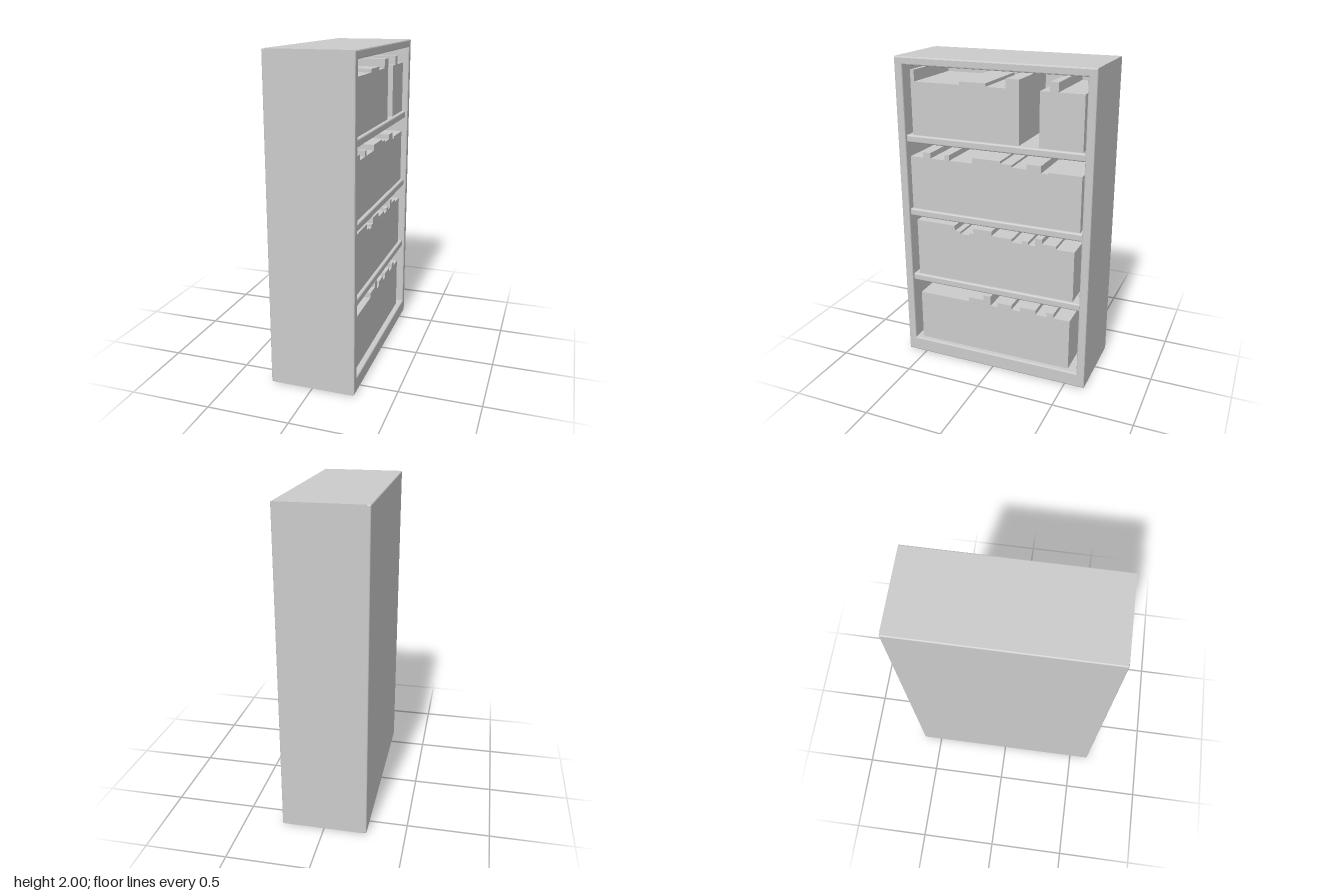
import * as THREE from 'three';
import { RoundedBoxGeometry } from 'three/addons/geometries/RoundedBoxGeometry.js';

const W = 0.53, H = 2, D = 1.256; // x, y, z size of the case
const FLOOR = 0.095, CEILING = 1.95, INNER = 0.576;
const BACK = -0.215, BOOK_FRONT = 0.23;

const material = new THREE.MeshStandardMaterial({ color: 0xcccccc });

function add(parent, name, geometry, x = 0, y = 0, z = 0) {
  const mesh = new THREE.Mesh(geometry, material);
  mesh.name = name;
  mesh.position.set(x, y, z);
  parent.add(mesh);
  return mesh;
}

// Extrudes an outline of [z, y] points along x, from x0 to x1
function extrudeX(points, x0, x1, hole, bevel = 0) {
  const toVectors = (list) => list.map(([z, y]) => new THREE.Vector2(-z, y));
  const shape = new THREE.Shape(toVectors(points));
  if (hole) shape.holes.push(new THREE.Path(toVectors(hole)));
  return new THREE.ExtrudeGeometry(shape, {
    depth: x1 - x0 - 2 * bevel,
    bevelEnabled: bevel > 0,
    bevelSize: bevel,
    bevelThickness: bevel,
    bevelOffset: -bevel,
    bevelSegments: 2,
  }).rotateY(Math.PI / 2).translate(x0 + bevel, 0, 0);
}

const rectangle = (z, y0, y1) => [[z, y0], [-z, y0], [-z, y1], [z, y1]];

// Stepped skyline of a row of books: each step is [z where it ends, top height]
function bookRow(bottom, start, steps) {
  const points = [[start, bottom]];
  let z = start;
  for (const [end, top] of steps) {
    points.push([z, top], [end, top]);
    z = end;
  }
  points.push([z, bottom]);
  return extrudeX(points, BACK, BOOK_FRONT);
}

export function createModel() {
  const group = new THREE.Group();
  group.name = 'bookcase';

  // Case: open frame plus a closed back
  add(group, 'frame', extrudeX(rectangle(D / 2, 0, H), -0.25, W / 2,
    rectangle(INNER, FLOOR, CEILING), 0.008));
  const backThickness = BACK + W / 2;
  add(group, 'backPanel', new RoundedBoxGeometry(backThickness, H, D, 2, 0.008),
    -W / 2 + backThickness / 2, H / 2, 0);

  // Shelves, with softly rounded front edges
  const shelfFront = 0.25, shelfBack = BACK - 0.02;
  for (const y of [0.552, 1.012, 1.497]) {
    add(group, 'shelf',
      new RoundedBoxGeometry(shelfFront - shelfBack, 0.048, 2 * INNER + 0.004, 2, 0.01),
      (shelfFront + shelfBack) / 2, y, 0);
  }

  // Books, from the top shelf down
  add(group, 'topBooksLeft', bookRow(1.521, 0.54, [
    [0.515, 1.92], [0.215, 1.85], [0.045, 1.87], [-0.08, 1.85], [-0.165, 1.905],
  ]));
  add(group, 'topBooksRight', bookRow(1.521, -0.29, [
    [-0.35, 1.85], [-0.4, 1.905], [-0.555, 1.85],
  ]));
  add(group, 'upperBooks', bookRow(1.036, 0.565, [
    [0.475, 1.38], [0.425, 1.415], [0.325, 1.38], [0.295, 1.415], [0.14, 1.38],
    [-0.045, 1.415], [-0.12, 1.4], [-0.215, 1.385], [-0.305, 1.415],
    [-0.35, 1.37], [-0.555, 1.38],
  ]));
  add(group, 'lowerBooks', bookRow(0.576, 0.54, [
    [0.27, 0.955], [0.23, 0.92], [0.17, 0.905], [0.14, 0.92], [0.015, 0.955],
    [-0.12, 0.925], [-0.19, 0.905], [-0.23, 0.925], [-0.275, 0.905],
    [-0.32, 0.955], [-0.41, 0.925], [-0.525, 0.905],
  ]));
  add(group, 'bottomBooks', bookRow(FLOOR, 0.535, [
    [0.18, 0.435], [0.075, 0.465], [0.025, 0.5], [-0.025, 0.435], [-0.12, 0.465],
    [-0.18, 0.435], [-0.285, 0.465], [-0.36, 0.435], [-0.405, 0.465], [-0.51, 0.435],
  ]));

  return group;
}
